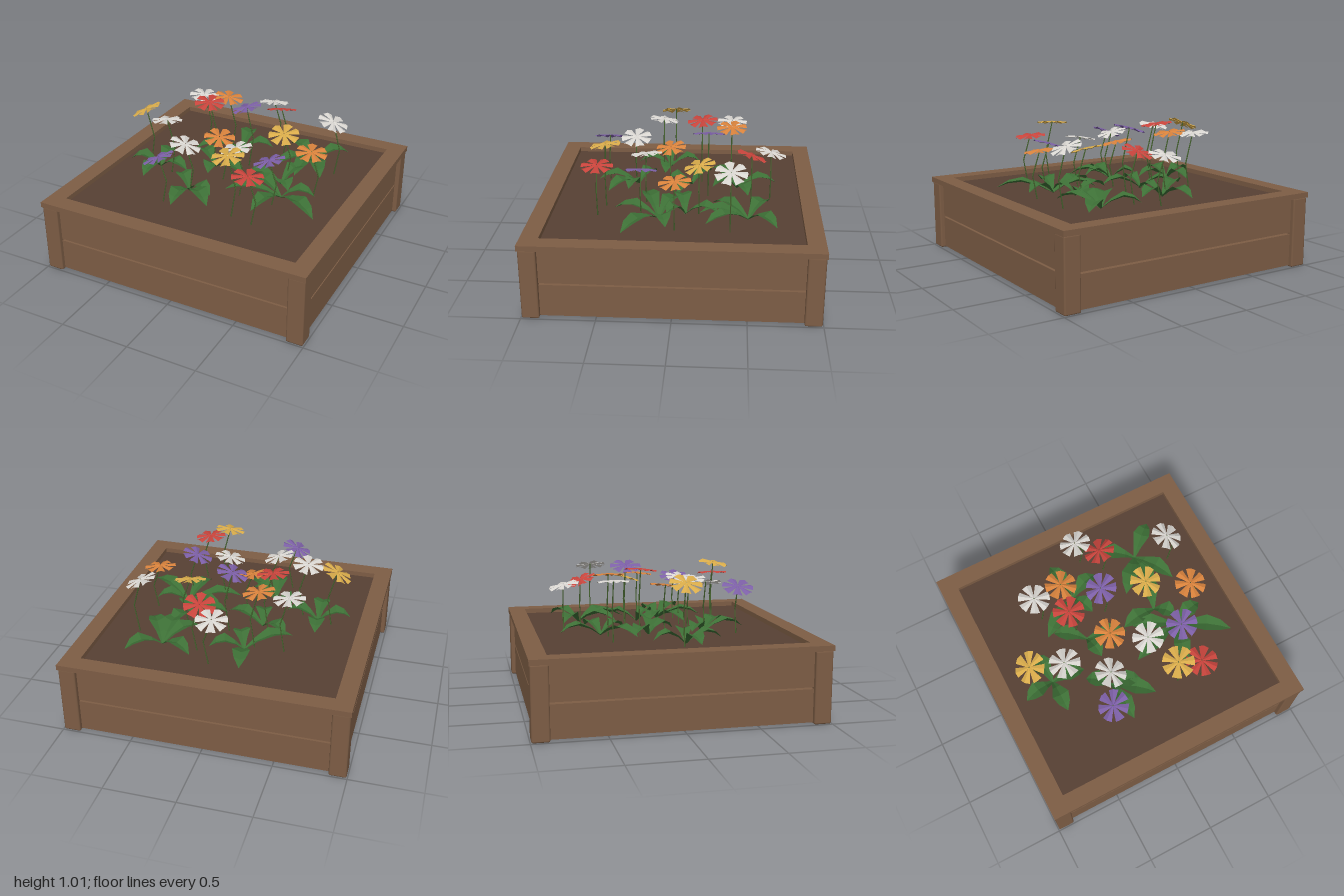
import * as THREE from 'three';
import { RoundedBoxGeometry } from 'three/addons/geometries/RoundedBoxGeometry.js';

const mat = (color, extra = {}) => new THREE.MeshStandardMaterial({ color, ...extra });
const thin = { side: THREE.DoubleSide, flatShading: true };
const WOOD = mat(0x7d5d45), SOIL = mat(0x574033);
const STEM = mat(0x46652f), LEAF = mat(0x3d7036, thin);
const PETAL = {
  white: mat(0xd8d5d0, thin), red: mat(0xc8443c, thin), orange: mat(0xd8823c, thin),
  purple: mat(0x7c5fa6, thin), yellow: mat(0xd8ab4a, thin),
};

function add(parent, name, geometry, material, x = 0, y = 0, z = 0) {
  const mesh = new THREE.Mesh(geometry, material);
  mesh.name = name;
  mesh.position.set(x, y, z);
  parent.add(mesh);
  return mesh;
}

function surface(points, index) {
  const g = new THREE.BufferGeometry();
  g.setAttribute('position', new THREE.Float32BufferAttribute(points, 3));
  g.setIndex(index);
  g.computeVertexNormals();
  return g;
}

// Wooden frame: mitre-free rim, corner posts, two boards per side with a gap
function buildBox() {
  const box = new THREE.Group();
  box.name = 'planterBox';
  const square = (r, target) => {
    target.moveTo(-r, -r).lineTo(r, -r).lineTo(r, r).lineTo(-r, r).closePath();
    return target;
  };
  const rim = square(1, new THREE.Shape());
  rim.holes.push(square(0.875, new THREE.Path()));
  const rimGeo = new THREE.ExtrudeGeometry(rim, { depth: 0.038, bevelEnabled: false });
  rimGeo.rotateX(-Math.PI / 2);
  add(box, 'topRim', rimGeo, WOOD, 0, 0.497, 0);

  const postGeo = new RoundedBoxGeometry(0.12, 0.5, 0.12, 1, 0.012);
  for (const sx of [-1, 1]) for (const sz of [-1, 1])
    add(box, 'cornerPost', postGeo, WOOD, sx * 0.934, 0.25, sz * 0.934);

  const lower = new THREE.BoxGeometry(1.76, 0.228, 0.075);
  const upper = new THREE.BoxGeometry(1.76, 0.247, 0.075);
  for (let i = 0; i < 4; i++) {
    const side = new THREE.Group();
    side.name = 'sideBoards';
    side.rotation.y = i * Math.PI / 2;
    add(side, 'lowerBoard', lower, WOOD, 0, 0.124, 0.925);
    add(side, 'upperBoard', upper, WOOD, 0, 0.3745, 0.925);
    box.add(side);
  }
  add(box, 'soil', new THREE.BoxGeometry(1.775, 0.1, 1.775), SOIL, 0, 0.45, 0);
  return box;
}

// Arched, folded leaf from a centre out to a tip
function leafGeometry(cx, cz, tx, tz) {
  const dx = tx - cx, dz = tz - cz, len = Math.hypot(dx, dz);
  const nx = -dz / len, nz = dx / len;
  const rows = [[0, 0.008], [0.25, 0.03], [0.55, 0.062], [0.8, 0.042], [1, 0.001]];
  const pts = [], idx = [];
  rows.forEach(([t, w], i) => {
    const y = 0.5 + 0.08 * Math.sin(Math.PI * 0.85 * t);
    for (const s of [-1, 0, 1])
      pts.push(cx + dx * t + nx * w * s, y + Math.abs(s) * w * 0.4, cz + dz * t + nz * w * s);
    if (i) for (const k of [0, 1]) {
      const a = (i - 1) * 3 + k, b = a + 3;
      idx.push(a, a + 1, b, a + 1, b + 1, b);
    }
  });
  return surface(pts, idx);
}

// Seven flared petals, each creased along its middle
function headGeometry() {
  const pts = [], idx = [], n = 7;
  for (let i = 0; i < n; i++) {
    const a = i / n * Math.PI * 2, c = Math.cos(a), s = Math.sin(a);
    const profile = [[0.004, -0.006, 0], [0.004, 0.006, 0], [0.107, 0.035, -0.014],
      [0.112, 0, -0.003], [0.107, -0.035, -0.014], [0.004, 0, 0.004]];
    for (const [r, w, y] of profile) pts.push(r * c - w * s, y, r * s + w * c);
    const o = i * 6;
    idx.push(o + 5, o + 1, o + 2, o + 5, o + 2, o + 3, o + 5, o + 3, o + 4, o + 5, o + 4, o);
  }
  return surface(pts, idx);
}

function stemPart(parent, from, to) {
  const d = to.clone().sub(from);
  const m = add(parent, 'stem', new THREE.CylinderGeometry(0.004, 0.005, d.length(), 5), STEM);
  m.position.copy(from).addScaledVector(d, 0.5);
  m.quaternion.setFromUnitVectors(new THREE.Vector3(0, 1, 0), d.normalize());
}

// x, height, z, colour, tilt about z, tilt about x
const FLOWERS = [
  [0.01, 0.85, -0.66, 'white', 0.05, -0.25], [0.135, 0.87, -0.52, 'red', 0.15, -0.35],
  [-0.45, 0.93, -0.375, 'white', -0.1, 0], [-0.24, 0.95, -0.375, 'orange', -0.15, 0],
  [0.61, 0.92, -0.375, 'white', -0.38, 0], [-0.285, 0.985, -0.155, 'red', -0.1, 0.1],
  [-0.01, 0.98, -0.21, 'purple', 0.3, 0], [0.32, 0.855, -0.155, 'yellow', -0.1, 0.28],
  [-0.7, 0.935, 0.065, 'yellow', 0.45, 0.05], [-0.085, 0.84, 0.07, 'orange', -0.15, 0.15],
  [0.6, 0.845, 0, 'orange', -0.1, 0.1], [-0.475, 0.93, 0.145, 'white', 0.1, -0.15],
  [0.13, 0.87, 0.23, 'white', 0.2, 0.1], [-0.215, 0.87, 0.335, 'white', -0.3, 0],
  [0.39, 0.845, 0.245, 'purple', 0.3, 0], [-0.31, 0.845, 0.545, 'purple', 0.4, 0],
  [0.21, 0.96, 0.51, 'yellow', 0.1, 0.15], [0.38, 0.865, 0.55, 'red', -0.1, 0],
];

// Leaf clumps: centre x, z, then the tips
const CLUMPS = [
  [0.42, -0.5, [0.63, -0.69], [0.18, -0.64], [0.59, -0.21], [0.22, -0.25], [0.41, -0.16]],
  [-0.15, -0.42, [-0.19, -0.71], [0.08, -0.5], [-0.07, -0.24], [-0.45, -0.21]],
  [-0.57, 0.1, [-0.59, -0.13], [-0.8, 0.15], [-0.57, 0.35], [-0.33, 0.13]],
  [-0.2, -0.08, [0.08, 0.01], [-0.17, 0.1], [-0.4, -0.22]],
  [0.35, -0.06, [0.08, -0.02], [0.46, 0.07], [0.42, -0.3]],
  [0.43, 0.12, [0.77, 0.35], [0.35, 0.44], [0.14, 0.0], [0.66, 0.06], [0.05, 0.25]],
  [-0.2, 0.32, [0.05, 0.52], [-0.18, 0.62], [-0.35, 0.2], [0.0, 0.38]],
];

export function createModel() {
  const model = new THREE.Group();
  model.name = 'flowerPlanter';
  model.add(buildBox());

  const leaves = new THREE.Group();
  leaves.name = 'leaves';
  for (const [cx, cz, ...tips] of CLUMPS)
    for (const [tx, tz] of tips) add(leaves, 'leaf', leafGeometry(cx, cz, tx, tz), LEAF);
  model.add(leaves);

  const head = headGeometry();
  FLOWERS.forEach(([x, y, z, color, tiltZ, tiltX], i) => {
    const flower = new THREE.Group();
    flower.name = color + 'Flower';
    const bend = new THREE.Vector3(x + 0.06, y - 0.22 + (0.93 - y) * 0.5, z);
    stemPart(flower, new THREE.Vector3(x + 0.025, 0.49, z), bend);
    stemPart(flower, bend, new THREE.Vector3(x, y, z));
    const petals = add(flower, 'petals', head, PETAL[color], x, y, z);
    petals.rotation.set(tiltX, 0, tiltZ);
    petals.rotateY(i * 0.37);
    model.add(flower);
  });
  return model;
}
